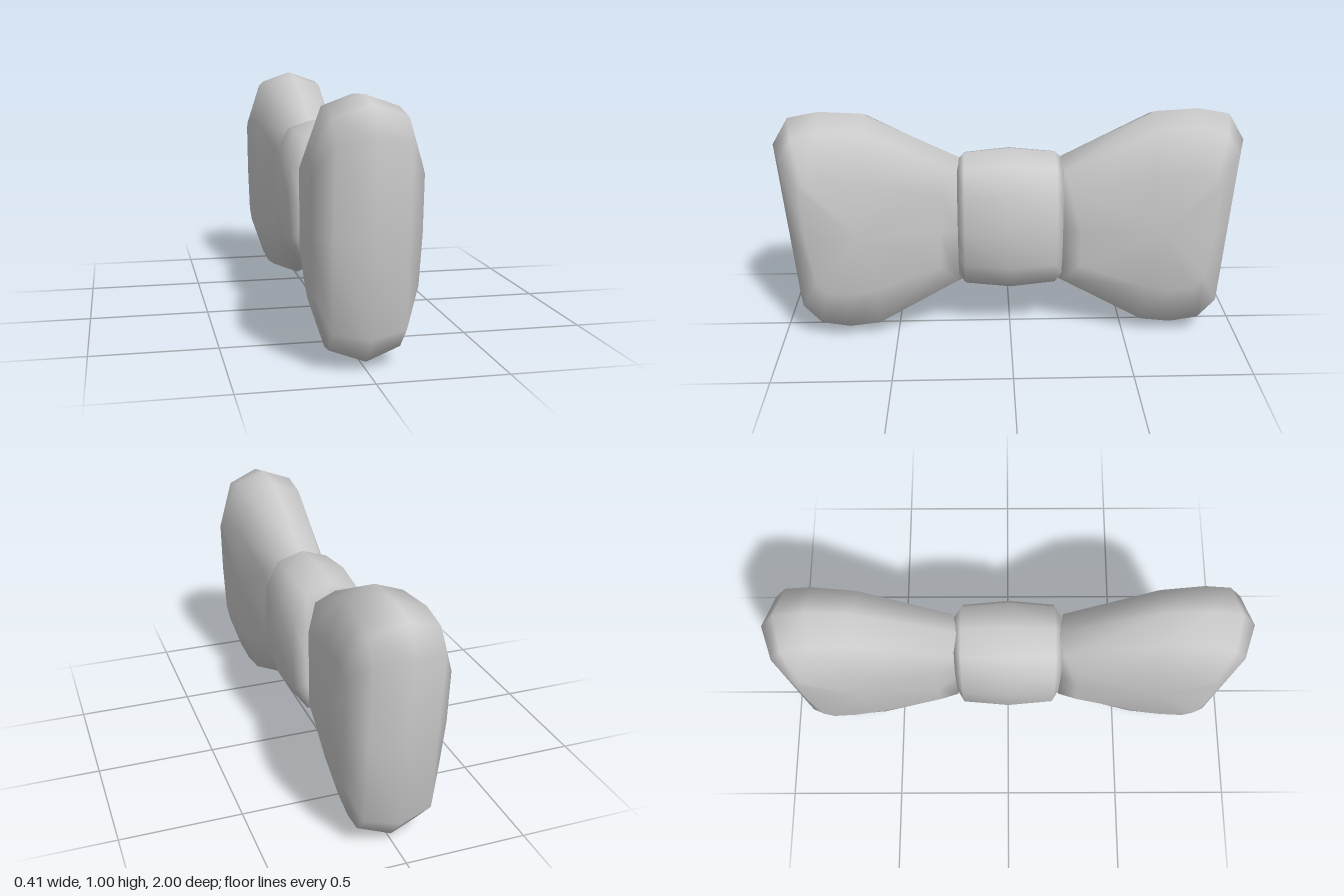
import * as THREE from 'three';

const material = new THREE.MeshStandardMaterial({ color: 0xcccccc });

// Skins closed rings (counter-clockwise about the direction of travel) and caps both ends.
function loft(name, rings) {
  const n = rings[0].length;
  const last = (rings.length - 1) * n;
  const points = rings.flat();
  const index = [];
  const centre = (ring) => ring.reduce((s, p) => s.add(p), new THREE.Vector3()).divideScalar(n);
  const start = points.push(centre(rings[0])) - 1;
  const end = points.push(centre(rings[rings.length - 1])) - 1;
  for (let i = 0; i < n; i++) {
    const j = (i + 1) % n;
    for (let r = 0; r < last; r += n) {
      index.push(r + i, r + j, r + n + j, r + i, r + n + j, r + n + i);
    }
    index.push(start, j, i, end, last + i, last + j);
  }
  const geometry = new THREE.BufferGeometry().setFromPoints(points);
  geometry.setIndex(index);
  geometry.computeVertexNormals();
  const mesh = new THREE.Mesh(geometry, material);
  mesh.name = name;
  return mesh;
}

// Wing outlines as [z, y]: the widest at the middle plane, then shrinking to the flat side.
const middle = [[0.21, 0.79], [0.62, 0.99], [0.8, 1], [0.93, 0.975], [1, 0.86], [0.97, 0.5],
  [0.94, 0.14], [0.85, 0.03], [0.72, 0], [0.57, 0.015], [0.2, 0.22], [0.2, 0.5]];
const shoulder = [[0.23, 0.76], [0.61, 0.945], [0.79, 0.955], [0.9, 0.925], [0.955, 0.84], [0.93, 0.5],
  [0.905, 0.16], [0.83, 0.075], [0.71, 0.05], [0.58, 0.06], [0.23, 0.25], [0.22, 0.5]];
const side = [[0.3, 0.67], [0.6, 0.76], [0.76, 0.77], [0.85, 0.75], [0.87, 0.72], [0.86, 0.5],
  [0.83, 0.3], [0.79, 0.25], [0.69, 0.235], [0.58, 0.25], [0.3, 0.34], [0.3, 0.5]];

// The wing thins towards the knot.
const halfThickness = (z) => 0.145 + 0.06 * Math.min(1, (z - 0.3) / 0.57);

function wing(name) {
  const layers = [[side, -1], [shoulder, -0.67], [middle, 0], [shoulder, 0.67], [side, 1]];
  return loft(name, layers.map(([outline, k]) =>
    outline.map(([z, y]) => new THREE.Vector3(k * halfThickness(z), y, z))));
}

// Knot: rounded sections along z as [z, x scale, y scale].
function knot() {
  const quarter = [[1, 0], [0.95, 0.52], [0.63, 0.88], [0, 1]];
  const half = [...quarter, ...quarter.slice(0, 3).reverse().map(([x, y]) => [-x, y])];
  const section = [...half, ...half.slice(1, -1).map(([x, y]) => [-x, -y])];
  const stations = [[-0.225, 0.66, 0.84], [-0.195, 0.92, 0.94], [0, 1, 1],
    [0.195, 0.92, 0.94], [0.225, 0.66, 0.84]];
  return loft('knot', stations.map(([z, sx, sy]) =>
    section.map(([x, y]) => new THREE.Vector3(0.005 + 0.192 * sx * x, 0.515 + 0.318 * sy * y, z))));
}

export function createModel() {
  const group = new THREE.Group();
  group.name = 'bowTie';
  const backWing = wing('backWing');
  backWing.rotation.y = Math.PI;
  group.add(wing('frontWing'), backWing, knot());
  return group;
}
